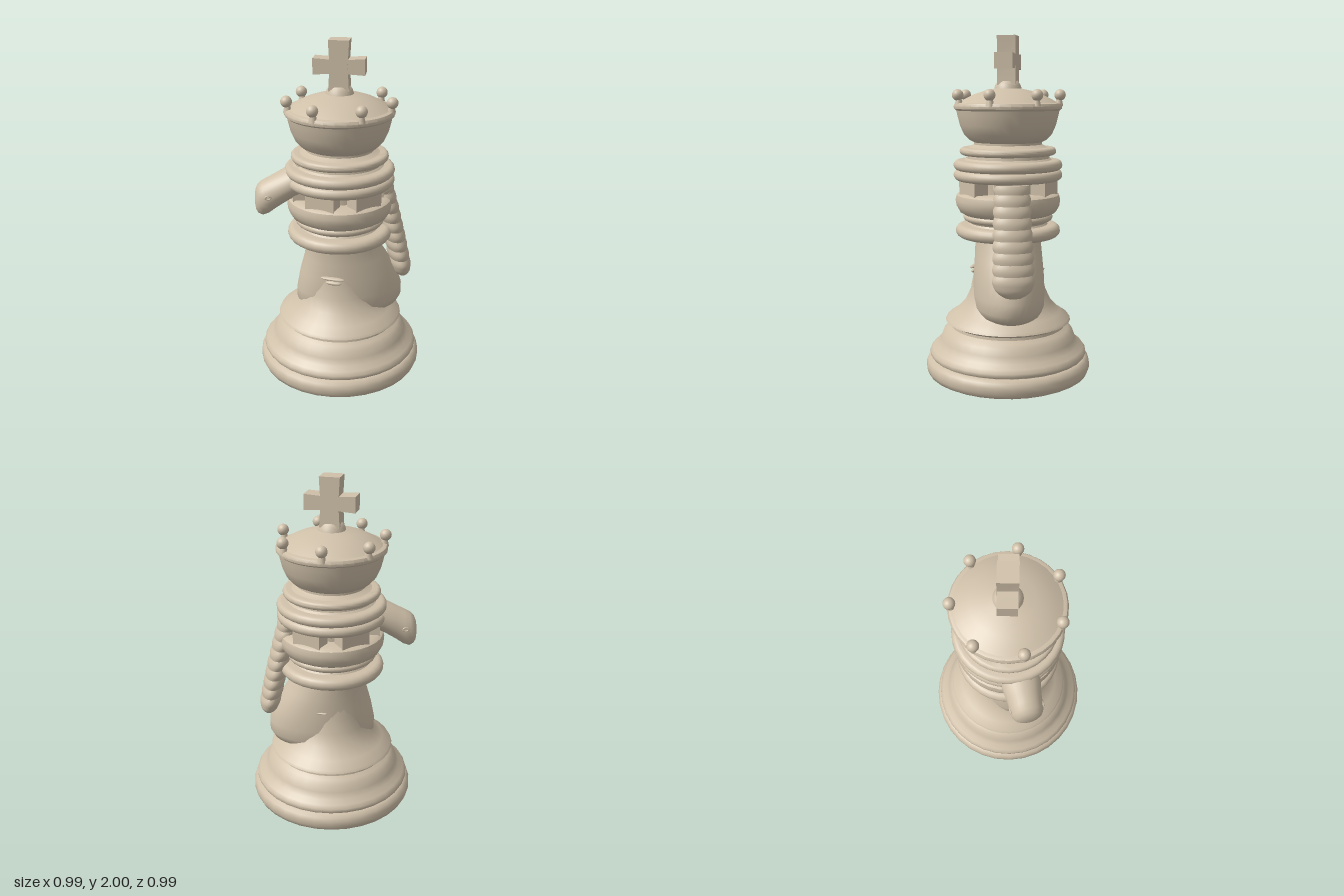
import * as THREE from 'three';
import { toCreasedNormals } from 'three/addons/utils/BufferGeometryUtils.js';

const stone = new THREE.MeshStandardMaterial({ color: 0xcfc0a9 });
stone.name = 'warm stone';

function add(parent, name, geometry, x = 0, y = 0, z = 0) {
  const mesh = new THREE.Mesh(geometry, stone);
  mesh.name = name;
  mesh.position.set(x, y, z);
  parent.add(mesh);
  return mesh;
}

// Turned part from [radius, height] pairs, listed bottom to top
function turned(parent, name, profile, crease = 0.7) {
  const points = profile.map(([r, y]) => new THREE.Vector2(r, y));
  return add(parent, name, toCreasedNormals(new THREE.LatheGeometry(points, 32), crease));
}

// Rounded ring profile between two heights
function bead(parent, name, y0, y1, radius, inner) {
  const h = (y1 - y0) / 2;
  const profile = [[0, y0], [inner, y0]];
  for (let i = 0; i <= 8; i++) {
    const t = -Math.PI / 2 + (i / 8) * Math.PI;
    profile.push([radius - h + h * Math.cos(t), (y0 + y1) / 2 + h * Math.sin(t)]);
  }
  profile.push([inner, y1], [0, y1]);
  return turned(parent, name, profile);
}

// Elliptical cross-sections [height, centreX, radiusX, radiusZ] stacked along y
function loft(rows, sides = 28, crease = 0.8) {
  const ends = [rows[0], rows[rows.length - 1]].map(([y, cx]) => [y, cx, 0, 0]);
  const all = [ends[0], ...rows, ends[1]];
  const pos = [], idx = [];
  all.forEach(([y, cx, a, b]) => {
    for (let j = 0; j < sides; j++) {
      const t = (j / sides) * Math.PI * 2;
      pos.push(cx + a * Math.cos(t), y, b * Math.sin(t));
    }
  });
  for (let i = 0; i < all.length - 1; i++) {
    for (let j = 0; j < sides; j++) {
      const k = (j + 1) % sides;
      const a = i * sides + j, b = a + sides, c = i * sides + k, d = c + sides;
      idx.push(a, b, c, b, d, c);
    }
  }
  const g = new THREE.BufferGeometry();
  g.setAttribute('position', new THREE.Float32BufferAttribute(pos, 3));
  g.setIndex(idx);
  g.computeVertexNormals();
  return toCreasedNormals(g, crease);
}

export function createModel() {
  const model = new THREE.Group();
  model.name = 'chessPiece';

  // Stepped base
  turned(model, 'foot', [[0, 0], [0.46, 0], [0.482, 0.012], [0.494, 0.04], [0.494, 0.07],
    [0.485, 0.095], [0.465, 0.11], [0.455, 0.112], [0.455, 0.125], [0, 0.125]]);
  turned(model, 'baseMoulding', [[0, 0.118], [0.465, 0.118], [0.472, 0.13], [0.47, 0.145], [0.455, 0.165],
    [0.425, 0.185], [0.405, 0.22], [0.39, 0.26], [0.365, 0.28], [0.343, 0.295], [0.34, 0.315], [0, 0.315]]);
  turned(model, 'pedestal', [[0, 0.31], [0.34, 0.31], [0.355, 0.325], [0.376, 0.33], [0.367, 0.345],
    [0.315, 0.38], [0.26, 0.435], [0.225, 0.51], [0.207, 0.6], [0.19, 0.7], [0.185, 0.78], [0.2, 0.86], [0, 0.86]]);

  // Lower collars and castle cup
  bead(model, 'lowerCollar', 0.835, 0.91, 0.31, 0.2);
  turned(model, 'collarNeck', [[0, 0.89], [0.25, 0.89], [0.228, 0.92], [0.24, 0.94], [0, 0.94]]);
  bead(model, 'cupRing', 0.932, 0.975, 0.265, 0.2);
  turned(model, 'castleCup', [[0, 0.965], [0.25, 0.965], [0.285, 0.985], [0.304, 1.02], [0.31, 1.055],
    [0.302, 1.085], [0.28, 1.1], [0.22, 1.1], [0, 1.1]]);
  turned(model, 'castleCore', [[0.19, 1.09], [0.19, 1.19]]);

  // Six battlement blocks
  for (let i = 0; i < 6; i++) {
    const a = THREE.MathUtils.degToRad(-8 + 60 * i);
    const block = add(model, 'battlement', new THREE.BoxGeometry(0.175, 0.11, 0.09),
      0.235 * Math.sin(a), 1.135, 0.235 * Math.cos(a));
    block.rotation.y = a;
  }

  // Upper collars
  bead(model, 'middleCollar', 1.17, 1.233, 0.32, 0.2);
  bead(model, 'upperCollar', 1.23, 1.29, 0.32, 0.2);
  turned(model, 'collarWaist', [[0.27, 1.28], [0.245, 1.3], [0.24, 1.33]]);
  bead(model, 'thinCollar', 1.318, 1.363, 0.283, 0.2);
  turned(model, 'crownNeck', [[0.26, 1.355], [0.225, 1.365], [0.2, 1.38], [0.2, 1.41]]);

  // Crown bowl and domed top
  turned(model, 'crownBowl', [[0, 1.385], [0.185, 1.385], [0.225, 1.405], [0.258, 1.44], [0.28, 1.49],
    [0.295, 1.55], [0.3, 1.575], [0.313, 1.585], [0.316, 1.6], [0.308, 1.615], [0.295, 1.62], [0, 1.62]]);
  turned(model, 'crownDome', [[0.3, 1.612], [0.26, 1.637], [0.2, 1.667], [0.14, 1.687], [0.08, 1.7],
    [0.074, 1.72], [0.06, 1.742], [0.035, 1.755], [0, 1.76]], 1);

  // Seven crown pearls on short stems
  for (let i = 0; i < 7; i++) {
    const a = (i / 7) * Math.PI * 2;
    const x = 0.302 * Math.cos(a), z = 0.302 * Math.sin(a);
    add(model, 'pearl', new THREE.SphereGeometry(0.033, 18, 12), x, 1.664, z);
    add(model, 'pearlStem', new THREE.CylinderGeometry(0.014, 0.026, 0.05, 12), x * 0.98, 1.626, z * 0.98);
  }

  // Cross with slightly flared ends
  const cross = new THREE.Group();
  cross.name = 'cross';
  cross.rotation.y = 0.15;
  model.add(cross);
  const bar = (name, length, thin, wide, depth) => {
    const g = new THREE.BoxGeometry(thin * 2, length, depth, 1, 2, 1);
    const p = g.attributes.position;
    for (let i = 0; i < p.count; i++) {
      const f = Math.abs(p.getY(i)) > 0.01 ? wide / thin : 1;
      p.setX(i, p.getX(i) * f);
    }
    g.computeVertexNormals();
    return add(cross, name, toCreasedNormals(g, 0.5));
  };
  bar('crossUpright', 0.28, 0.05, 0.058, 0.108).position.y = 1.86;
  const arms = bar('crossArms', 0.29, 0.036, 0.045, 0.104);
  arms.position.y = 1.856;
  arms.rotation.z = Math.PI / 2;

  // Horse parts, facing local +x
  const horse = new THREE.Group();
  horse.name = 'horse';
  horse.rotation.y = Math.PI + 0.42;
  model.add(horse);

  add(horse, 'horseBody', loft([[0.365, -0.06, 0.21, 0.13], [0.375, -0.06, 0.26, 0.17], [0.4, -0.06, 0.3, 0.195],
    [0.44, -0.06, 0.322, 0.208], [0.51, -0.06, 0.322, 0.21], [0.62, -0.05, 0.29, 0.207],
    [0.72, -0.035, 0.247, 0.2], [0.8, -0.012, 0.215, 0.195], [0.87, 0, 0.205, 0.195]], 36, 1.1));

  // Head: sections run forward, centreX becomes minus height
  const head = loft([[0.08, -1.25, 0.08, 0.11], [0.2, -1.225, 0.092, 0.115], [0.3, -1.185, 0.096, 0.112],
    [0.37, -1.145, 0.1, 0.1], [0.42, -1.115, 0.105, 0.096], [0.455, -1.1, 0.102, 0.092],
    [0.48, -1.095, 0.085, 0.076], [0.492, -1.09, 0.06, 0.052], [0.497, -1.09, 0.03, 0.026]], 28, 1.3);
  head.rotateZ(-Math.PI / 2);
  add(horse, 'horseHead', head);
  add(horse, 'horseBrow', new THREE.SphereGeometry(1, 20, 14), 0.17, 1.3, 0).scale.set(0.09, 0.07, 0.1);

  for (const side of [-1, 1]) {
    const nostril = add(horse, 'nostril', new THREE.TorusGeometry(0.013, 0.005, 8, 16), 0.425, 1.13, side * 0.094);
    nostril.scale.set(1.2, 0.8, 1);
    const ear = add(horse, 'ear', new THREE.ConeGeometry(0.035, 0.11, 14), 0.14, 1.36, side * 0.06);
    ear.rotation.z = 0.35;
  }

  // Ridged mane hanging down the back
  const rows = [];
  const ridges = 10;
  for (let i = 0; i < ridges; i++) {
    for (let j = 0; j < 5; j++) {
      const t = (i + j / 5) / ridges;
      const end = i === 0 ? Math.sqrt(0.15 + 0.85 * (j / 5)) : 1;
      const f = (0.92 + 0.08 * Math.sin((j / 5) * Math.PI)) * end;
      rows.push([0.555 + 0.625 * t, -0.385 + 0.14 * Math.pow(t, 1.2), 0.066 * f, (0.122 - 0.018 * t) * f]);
    }
  }
  add(horse, 'mane', loft(rows, 28, 0.45));

  // Small lip-shaped folds on the front and back of the body
  for (const side of [-1, 1]) {
    const fold = new THREE.Group();
    fold.name = 'bodyFold';
    fold.position.set(0.015, 0.625, side * 0.205);
    model.add(fold);
    add(fold, 'foldUpper', new THREE.SphereGeometry(1, 18, 10), 0, 0.015, 0).scale.set(0.075, 0.01, 0.018);
    add(fold, 'foldLower', new THREE.SphereGeometry(1, 18, 10), 0.005, -0.012, 0).scale.set(0.05, 0.012, 0.016);
  }

  model.traverse((o) => {
    if (o.isMesh && ['castleCore', 'collarWaist', 'crownNeck'].includes(o.name)) o.castShadow = false;
  });
  return model;
}
